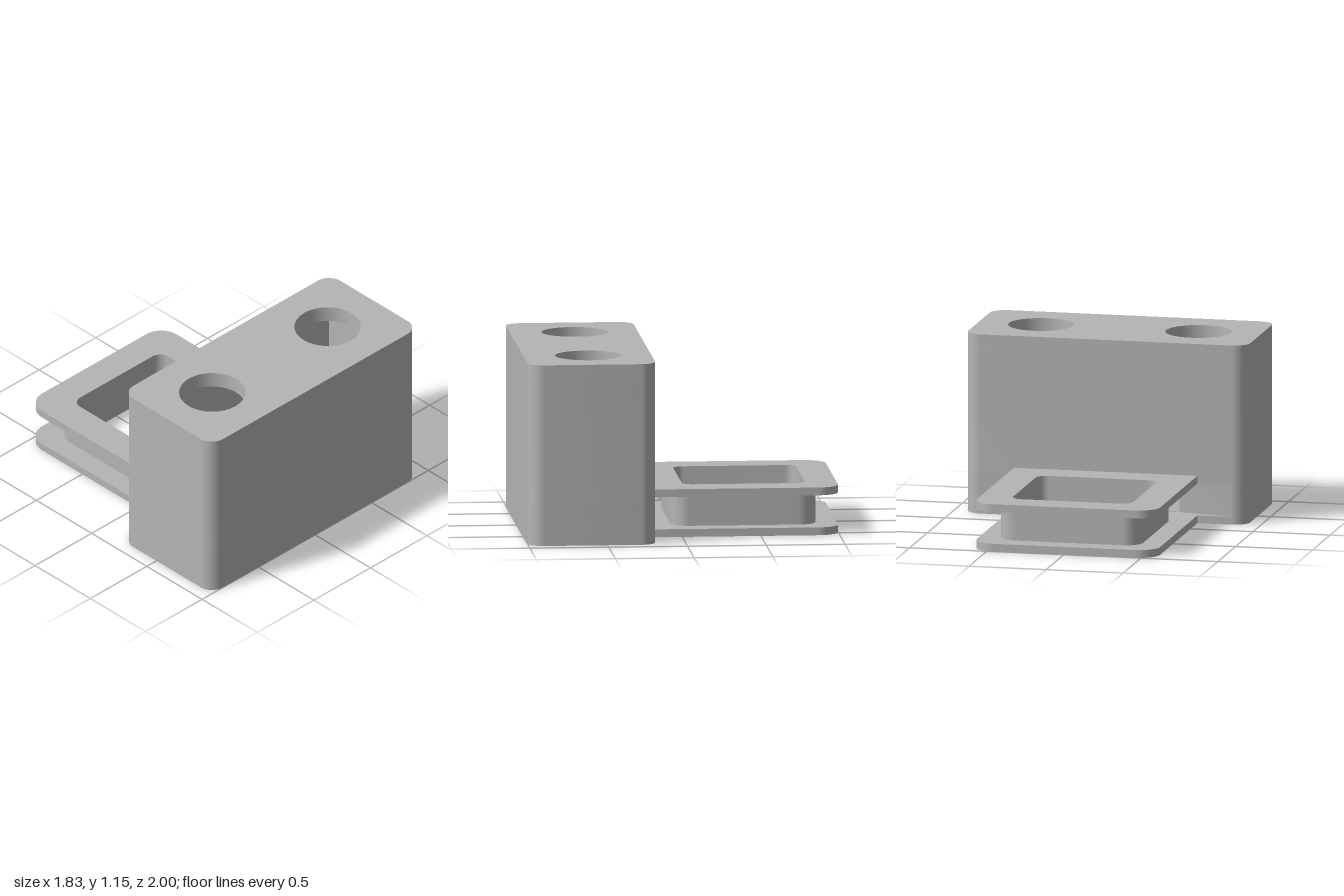
import * as THREE from 'three';
import { toCreasedNormals } from 'three/addons/utils/BufferGeometryUtils.js';

// Plan shapes are drawn as (x, -z) and extruded upwards.
// Rounded rectangle; rb rounds the back corners, rf the front ones.
function roundedRect(path, hw, zBack, zFront, rb, rf = rb) {
  const t = -zBack, b = -zFront;
  const corner = (x, y, r, a) => {
    if (r > 0) path.absarc(x, y, r, a, a + Math.PI / 2, false);
    else path.lineTo(x, y);
  };
  path.moveTo(hw, (t + b) / 2);
  corner(hw - rb, t - rb, rb, 0);
  corner(-hw + rb, t - rb, rb, Math.PI / 2);
  corner(-hw + rf, b + rf, rf, Math.PI);
  corner(hw - rf, b + rf, rf, Math.PI * 1.5);
  path.closePath();
  return path;
}

export function createModel() {
  const group = new THREE.Group();
  const gray = new THREE.MeshStandardMaterial({ color: 0xb5b5b5 });
  gray.name = 'plain gray';

  function slab(name, shape, y0, y1) {
    const geo = new THREE.ExtrudeGeometry(shape, { depth: y1 - y0, bevelEnabled: false, curveSegments: 16 });
    geo.rotateX(-Math.PI / 2);
    geo.translate(0, y0, 0);
    const mesh = new THREE.Mesh(toCreasedNormals(geo, 0.6), gray);
    mesh.name = name;
    group.add(mesh);
  }

  const W = 0.915, BACK = 0.19, FRONT = 1, R = 0.1, WALL = 0.08;
  const iw = W - WALL, ib = BACK + WALL, inf = FRONT - WALL;
  const slot = 0.46, y1 = 0.05, y2 = 0.255, y3 = 0.305;
  const H = 1.155, ceiling = 1.05;

  // Hollow housing, open underneath
  const wallRing = () => {
    const s = roundedRect(new THREE.Shape(), W, BACK, FRONT, R);
    s.holes.push(roundedRect(new THREE.Path(), iw, ib, inf, 0));
    return s;
  };
  slab('housingBaseRim', wallRing(), 0, y1);
  slab('housingWalls', wallRing(), y2, ceiling);

  // Wall band with a slot through the back, level with the spool core
  const band = new THREE.Shape();
  band.moveTo(-slot, -BACK);
  band.absarc(-W + R, -BACK - R, R, Math.PI / 2, Math.PI, false);
  band.absarc(-W + R, -FRONT + R, R, Math.PI, Math.PI * 1.5, false);
  band.absarc(W - R, -FRONT + R, R, Math.PI * 1.5, Math.PI * 2, false);
  band.absarc(W - R, -BACK - R, R, 0, Math.PI / 2, false);
  for (const [x, z] of [[slot, BACK], [slot, ib], [iw, ib], [iw, inf], [-iw, inf], [-iw, ib], [-slot, ib]]) {
    band.lineTo(x, -z);
  }
  band.closePath();
  slab('housingSlottedBand', band, y1, y2);

  // Top plate with two round holes
  const top = roundedRect(new THREE.Shape(), W, BACK, FRONT, R);
  for (const side of [-1, 1]) {
    const hole = new THREE.Path();
    hole.absarc(side * 0.51, -0.59, 0.21, 0, Math.PI * 2, true);
    top.holes.push(hole);
  }
  slab('housingTop', top, ceiling, H);

  // Square spool: two flanges around a hollow core
  const frame = (hw, zb, zf, rb, rf) => {
    const s = roundedRect(new THREE.Shape(), hw, zb, zf, rb, rf);
    s.holes.push(roundedRect(new THREE.Path(), 0.39, -0.8, -0.02, 0.07));
    return s;
  };
  slab('lowerFlange', frame(0.595, -1, BACK, 0.135, 0), 0, y1);
  slab('spoolCore', frame(0.46, -0.865, 0.055, 0.11), y1, y2);
  slab('upperFlange', frame(0.595, -1, BACK, 0.135, 0), y2, y3);

  return group;
}
